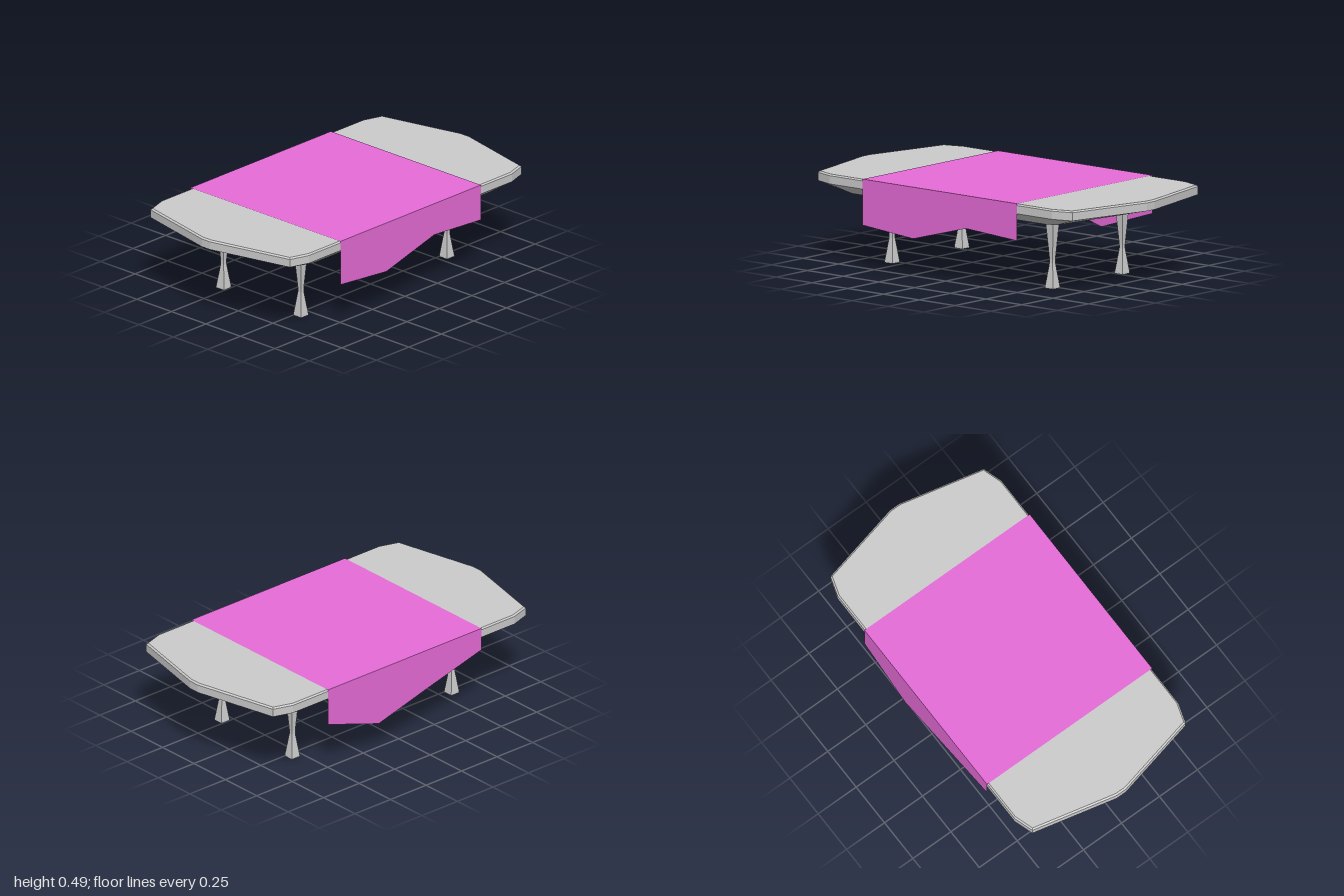
import * as THREE from 'three';
import { ConvexGeometry } from 'three/addons/geometries/ConvexGeometry.js';

const grey = new THREE.MeshStandardMaterial({ color: 0xcccccc, flatShading: true });
const pink = new THREE.MeshStandardMaterial({ color: 0xe66bd8, flatShading: true, side: THREE.DoubleSide });

// Mirrors one corner of an outline into all four quadrants at height y
function ring(corner, y) {
  const points = [];
  for (const sx of [1, -1]) for (const sz of [1, -1])
    for (const [x, z] of corner) points.push(new THREE.Vector3(sx * x, y, sz * z));
  return points;
}

function add(parent, name, geometry, material) {
  const mesh = new THREE.Mesh(geometry, material);
  mesh.name = name;
  parent.add(mesh);
  return mesh;
}

export function createModel() {
  const group = new THREE.Group();
  group.name = 'table';

  // Pointed-end tabletop: softened top edge, upright rim, sloping underside
  const rim = [[0.54, 0.78], [0.505, 0.89], [0.03, 1]];
  add(group, 'tabletop', new ConvexGeometry([
    ...ring([[0.532, 0.775], [0.498, 0.882], [0.03, 0.99]], 0.484),
    ...ring(rim, 0.476),
    ...ring(rim, 0.432),
    ...ring([[0.47, 0.68], [0.44, 0.73], [0.03, 0.77]], 0.382),
  ]), grey);

  // Square legs pinched at the waist: [half width, height]
  const profile = [[0, 0], [0.028, 0], [0.028, 0.008], [0.011, 0.135], [0.011, 0.155], [0.028, 0.385]]
    .map(([half, y]) => new THREE.Vector2(half * Math.SQRT2, y));
  const legGeometry = new THREE.LatheGeometry(profile, 4, Math.PI / 4);
  for (const [end, z] of [['front', 0.567], ['back', -0.555]])
    for (const [side, x] of [['Left', 0.28], ['Right', -0.28]])
      add(group, `${end}${side}Leg`, legGeometry, grey).position.set(x, 0, z);

  // Cloth laid across the middle
  const cloth = new THREE.Group();
  cloth.name = 'cloth';
  group.add(cloth);
  const top = 0.487, front = 0.543, back = -0.537;
  const sheet = new THREE.PlaneGeometry(1.088, front - back).rotateX(-Math.PI / 2);
  add(cloth, 'clothTop', sheet, pink).position.set(0, top, (front + back) / 2);

  // Uneven hanging sides: lower edge as [z, y]
  const hems = [
    ['leftDrape', 1, [[front, 0.24], [0.19, 0.21], [-0.18, 0.31], [back, 0.288]]],
    ['rightDrape', -1, [[front, 0.36], [0.19, 0.268], [-0.18, 0.167], [back, 0.282]]],
  ];
  for (const [name, side, hem] of hems) {
    const shape = new THREE.Shape([[back, top], [front, top], ...hem]
      .map(([z, y]) => new THREE.Vector2(-z, y)));
    const drape = add(cloth, name, new THREE.ShapeGeometry(shape).rotateY(Math.PI / 2), pink);
    drape.position.x = side * 0.544;
  }
  return group;
}
